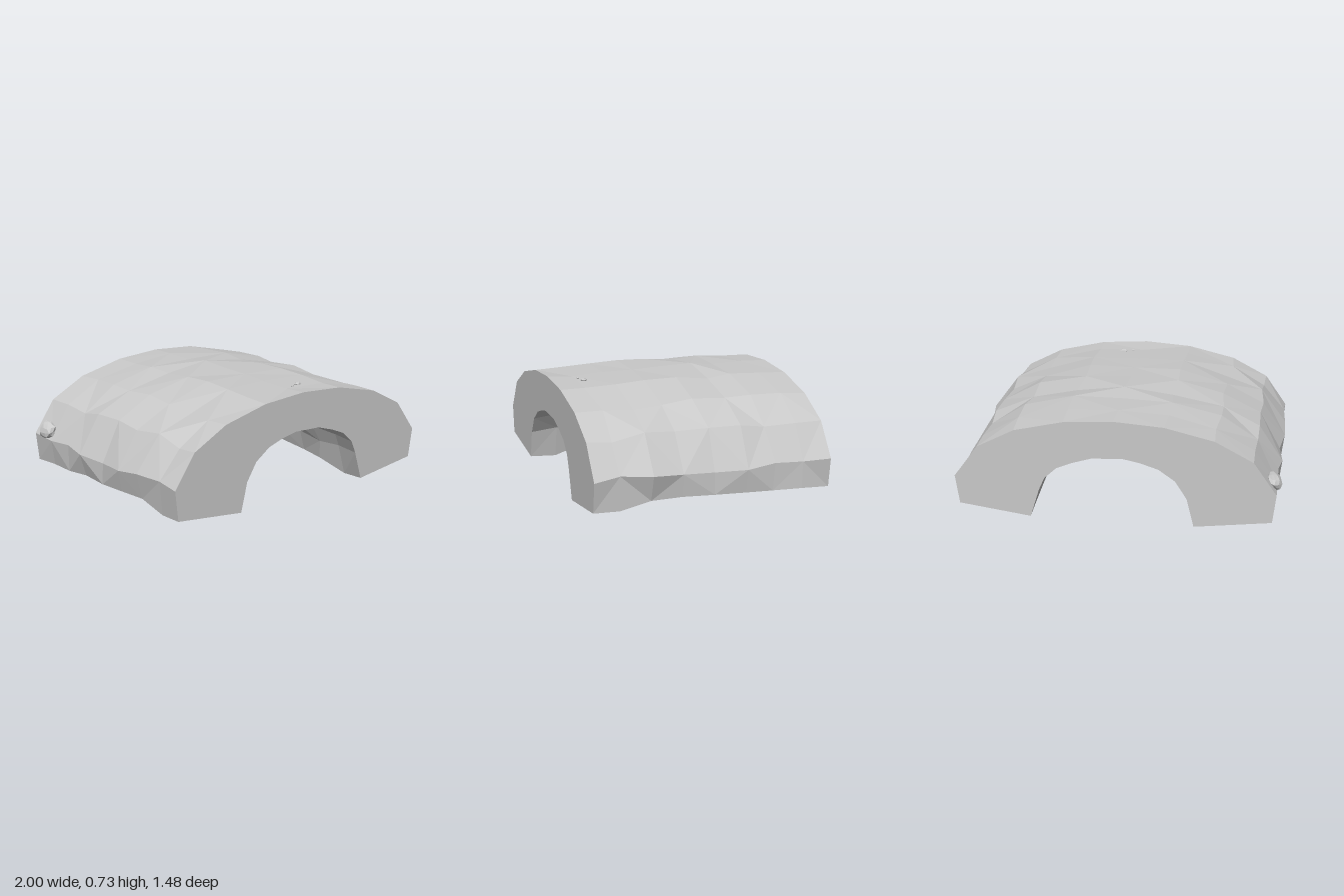
import * as THREE from 'three';

const stone = new THREE.MeshStandardMaterial({ color: 0xc8c8c8, flatShading: true });
stone.name = 'grey stone';

function seeded(seed) {
  return () => {
    seed = (seed * 16807) % 2147483647;
    return seed / 2147483647;
  };
}

// Positions of the rings along the tunnel, front to back
const ringZ = [0.74, 0.58, 0.39, 0.2, 0, -0.2, -0.37, -0.56, -0.74];
// Half of the outer profile, crown to foot: x, then the height at each ring
const outerX = [0, 0.3, 0.6, 0.83, 0.975, 0.95];
const outerY = [
  [0.71, 0.70, 0.71, 0.715, 0.722, 0.73, 0.712, 0.715, 0.71],
  [0.69, 0.69, 0.70, 0.71, 0.71, 0.69, 0.71, 0.70, 0.69],
  [0.62, 0.62, 0.61, 0.62, 0.645, 0.63, 0.64, 0.635, 0.62],
  [0.50, 0.49, 0.53, 0.515, 0.52, 0.52, 0.495, 0.50, 0.50],
  [0.30, 0.32, 0.31, 0.295, 0.285, 0.285, 0.305, 0.295, 0.30],
  [0.115, 0.11, 0.15, 0.155, 0.148, 0.14, 0.135, 0.13, 0.12],
];
const kneeRight = [0.98, 0.96, 1.0, 0.97, 0.96, 0.98, 0.965, 0.96, 0.975];
const kneeLeft = [0.97, 0.965, 0.98, 0.985, 0.96, 0.985, 0.965, 0.97, 0.97];
const footY = [0.06, 0.05, 0.11, 0.12, 0.15, 0.12, 0.09, 0.07, 0.06];
// Inner vault, right foot to left foot
const inner = [
  [0.51, 0.06], [0.455, 0.24], [0.42, 0.32], [0.345, 0.39], [0.25, 0.43], [0.13, 0.467], [-0.06, 0.475],
  [-0.16, 0.455], [-0.27, 0.42], [-0.37, 0.35], [-0.44, 0.24], [-0.485, 0.06],
];

// Closed cross-section of the tunnel at ring k
function section(k, rand) {
  const middle = k > 0 && k < ringZ.length - 1 ? 1 : 0;
  const jitter = (amount) => (rand() - 0.5) * 2 * amount * middle;
  const points = [];
  for (let i = -5; i <= 5; i++) {
    const a = Math.abs(i);
    let x = Math.sign(i) * outerX[a];
    if (a === 4) x = i > 0 ? kneeRight[k] : -kneeLeft[k];
    else x += jitter(0.012);
    const y = outerY[a][k] + (i < 0 ? jitter(0.008) : 0);
    points.push(new THREE.Vector3(x, y, ringZ[k] + (a < 5 ? jitter(0.012) : 0)));
  }
  // The vault swells a little into the rock between its ends
  inner.forEach(([x, y], i) => {
    const foot = i === 0 || i === inner.length - 1;
    points.push(new THREE.Vector3(
      x * (1 + (foot ? 0 : 0.025 * middle) + jitter(0.03)),
      foot ? footY[k] : y + middle * 0.01 + jitter(0.014),
      ringZ[k] + jitter(0.02)));
  });
  return points;
}

function tunnelSkin(rings) {
  const n = rings[0].length;
  const index = [];
  for (let k = 0; k < rings.length - 1; k++) {
    for (let i = 0; i < n; i++) {
      const a = k * n + i, b = k * n + (i + 1) % n;
      const c = a + n, d = b + n;
      if ((i + k) % 2) index.push(a, b, c, b, d, c);
      else index.push(a, b, d, a, d, c);
    }
  }
  const geometry = new THREE.BufferGeometry().setFromPoints(rings.flat());
  geometry.setIndex(index);
  geometry.computeVertexNormals();
  return geometry;
}

// Low-poly stone with rough corners
function rockGeometry(seed, detail = 0) {
  const rand = seeded(seed);
  const geometry = new THREE.IcosahedronGeometry(1, detail);
  const p = geometry.attributes.position;
  const seen = new Map();
  for (let i = 0; i < p.count; i++) {
    const key = [p.getX(i), p.getY(i), p.getZ(i)].map((v) => Math.round(v * 100)).join();
    if (!seen.has(key)) seen.set(key, 0.85 + rand() * 0.25);
    const s = seen.get(key);
    p.setXYZ(i, p.getX(i) * s, p.getY(i) * s, p.getZ(i) * s);
  }
  geometry.computeVertexNormals();
  return geometry;
}

export function createModel() {
  const model = new THREE.Group();
  model.name = 'rockTunnel';
  const add = (name, geometry, parent = model) => {
    const mesh = new THREE.Mesh(geometry, stone);
    mesh.name = name;
    parent.add(mesh);
    return mesh;
  };

  // Tunnel shell and its flat ends
  const rand = seeded(4711);
  const rings = ringZ.map((z, k) => section(k, rand));
  add('tunnelShell', tunnelSkin(rings));
  const cap = (ring, side) =>
    new THREE.ShapeGeometry(new THREE.Shape(ring.map((p) => new THREE.Vector2(p.x * side, p.y))));
  add('frontEnd', cap(rings[0], 1)).position.z = ringZ[0];
  const back = add('backEnd', cap(rings[8], -1));
  back.position.z = ringZ[8];
  back.rotation.y = Math.PI;

  // Loose stones outside and on the vault: x, y, z, half sizes
  [
    [-0.952, 0.345, -0.62, 0.04, 0.062, 0.072],
    [0.13, 0.703, 0.545, 0.029, 0.013, 0.022],
    [0.07, 0.703, 0.565, 0.011, 0.007, 0.009],
    [-0.03, 0.475, 0.38, 0.05, 0.018, 0.045],
    [0.22, 0.435, 0.3, 0.035, 0.02, 0.035],
  ].forEach(([x, y, z, a, b, c], i) => {
    const rock = add('looseStone', rockGeometry(31 + i, i ? 0 : 1));
    rock.position.set(x, y, z);
    rock.scale.set(a, b, c);
    rock.rotation.z = i ? 0 : -0.5;
  });

  // Stalactites: x, top y, z, length, radius
  const stalactites = new THREE.Group();
  stalactites.name = 'stalactites';
  model.add(stalactites);
  [
    [-0.53, 0.13, -0.4, 0.13, 0.014], [-0.41, 0.31, 0.29, 0.26, 0.006],
    [0.01, 0.49, 0.1, 0.15, 0.006], [0.13, 0.48, -0.1, 0.17, 0.014],
    [0.355, 0.4, 0.05, 0.13, 0.012], [0.39, 0.37, -0.2, 0.09, 0.008],
    [-0.14, 0.48, -0.13, 0.07, 0.015], [-0.16, 0.48, -0.37, 0.07, 0.015],
    [0.2, 0.46, 0.3, 0.06, 0.014], [-0.43, 0.3, -0.1, 0.12, 0.012],
    [-0.06, 0.49, 0.2, 0.07, 0.012], [-0.3, 0.43, -0.4, 0.06, 0.014],
  ].forEach(([x, y, z, length, radius]) => {
    const spike = add('stalactite', new THREE.ConeGeometry(radius, length, 6), stalactites);
    spike.rotation.x = Math.PI;
    spike.position.set(x, y - length / 2, z);
  });

  // Clusters of small stones on the vault: x, y, z, spread, count
  [
    [-0.47, 0.14, 0.36, 0.05, 18], [-0.45, 0.24, -0.22, 0.075, 24],
    [-0.45, 0.25, -0.46, 0.07, 22], [0, 0.478, 0.47, 0.09, 16],
    [0.23, 0.43, 0.2, 0.06, 10], [-0.2, 0.45, 0.1, 0.05, 8],
  ].forEach(([x, y, z, spread, count], c) => {
    const cluster = new THREE.Group();
    cluster.name = 'stoneCluster';
    cluster.position.set(x, y, z);
    model.add(cluster);
    const onWall = x < -0.4;
    for (let i = 0; i < count; i++) {
      const pebble = add('smallStone', rockGeometry(100 + c * 30 + i), cluster);
      const u = (rand() - 0.5) * 2 * spread, v = (rand() - 0.5) * 2 * spread;
      if (onWall) pebble.position.set(v * 0.3, v, u);
      else pebble.position.set(u, -Math.sign(x) * u * 0.4, v);
      const size = 0.008 + rand() * 0.009;
      pebble.scale.set(size, size * (onWall ? 1.6 : 0.7), size * 1.3);
      pebble.rotation.set(rand(), 0, rand() * 0.5);
    }
  });
  return model;
}
